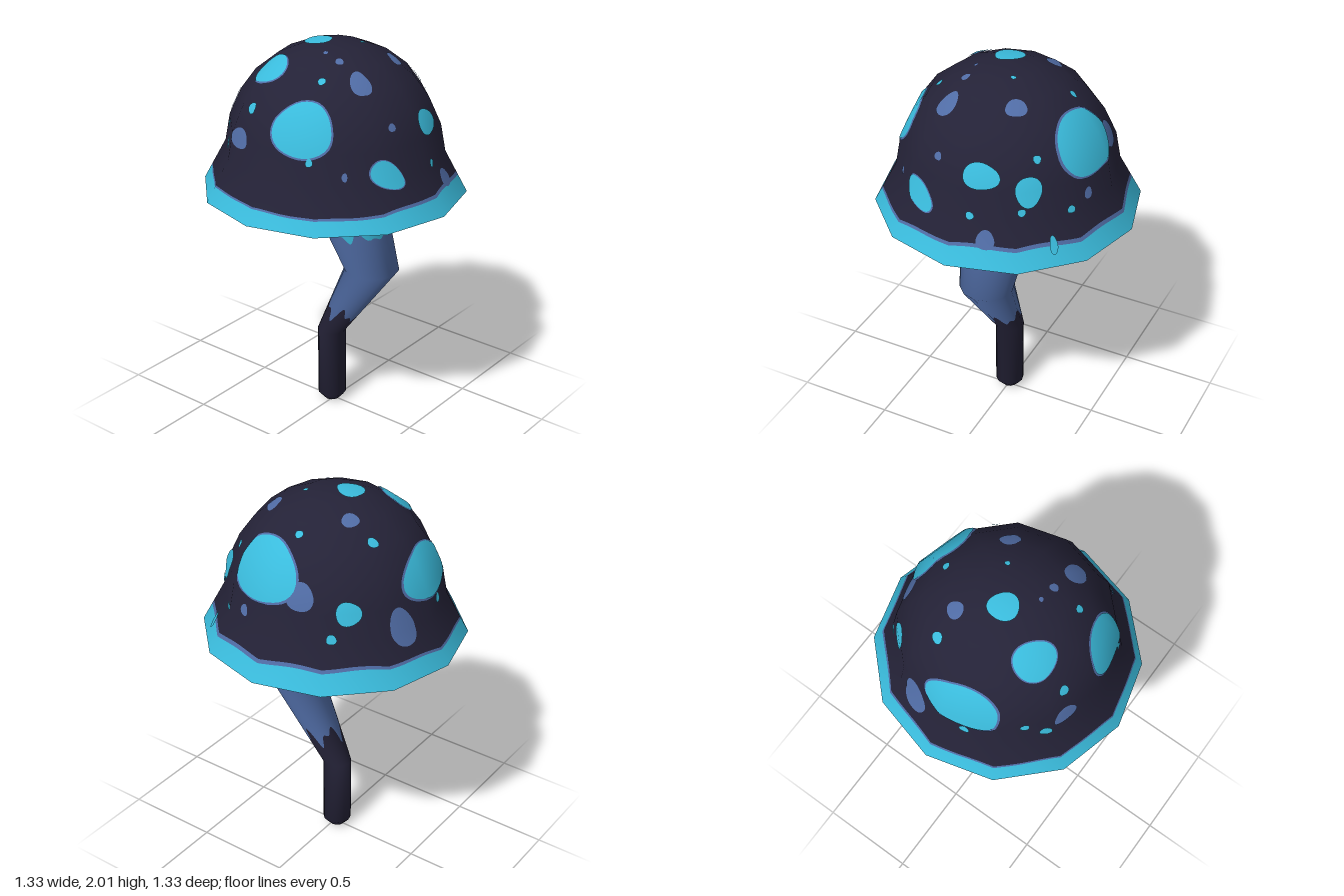
import * as THREE from 'three';

const SIDES = 12, STEP = (Math.PI * 2) / SIDES, FULL = Math.PI * 2;
const mat = (name, color) => Object.assign(new THREE.MeshStandardMaterial({ color }), { name });

// Ratio of a 12-sided ring to its circle at an angle measured from +z towards +x
function facet(theta) {
  const a = ((theta % STEP) + STEP) % STEP;
  return Math.cos(STEP / 2) / Math.cos(a - STEP / 2);
}

// Profile rows are [height, radius, z of ring centre]; slopes are averaged for smooth shading
function makeProfile(rows, endAngle) {
  const segs = rows.slice(1).map(([y, r, z], i) => {
    const dy = y - rows[i][0];
    return { a: Math.atan2(rows[i][1] - r, dy), c: (z - rows[i][2]) / dy };
  });
  return rows.map(([y, r, z], i) => {
    const p = segs[Math.max(i - 1, 0)], q = segs[Math.min(i, segs.length - 1)];
    const last = i === rows.length - 1 && endAngle !== undefined;
    return { y, r, z, a: last ? endAngle : (p.a + q.a) / 2, c: (p.c + q.c) / 2 };
  });
}

// Position and normal on a profile at an angle and height
function sample(profile, theta, y) {
  let i = 0;
  while (i < profile.length - 2 && y > profile[i + 1].y) i++;
  const p = profile[i], q = profile[i + 1];
  const k = (y - p.y) / (q.y - p.y);
  const mix = (key) => p[key] + (q[key] - p[key]) * k;
  const r = mix('r') * facet(theta), a = mix('a');
  const s = Math.sin(theta), c = Math.cos(theta);
  return {
    p: new THREE.Vector3(s * r, y, mix('z') + c * r),
    n: new THREE.Vector3(s * Math.cos(a), Math.sin(a) - mix('c') * c * Math.cos(a), c * Math.cos(a)).normalize(),
  };
}

// Rectangular grid of points; fn(column, row) returns { p, n }
function grid(fn, cols, rows) {
  const pos = [], nor = [], idx = [];
  for (let j = 0; j <= rows; j++) {
    for (let i = 0; i <= cols; i++) {
      const { p, n } = fn(i, j);
      pos.push(p.x, p.y, p.z);
      nor.push(n.x, n.y, n.z);
      if (i < cols && j < rows) {
        const a = j * (cols + 1) + i, d = a + cols + 1;
        idx.push(a, a + 1, d + 1, a, d + 1, d);
      }
    }
  }
  const g = new THREE.BufferGeometry();
  g.setAttribute('position', new THREE.Float32BufferAttribute(pos, 3));
  g.setAttribute('normal', new THREE.Float32BufferAttribute(nor, 3));
  g.setIndex(idx);
  return g;
}

// Surface band between wavy lower and upper edges, following the profile rows between them
function band(profile, lo, hi) {
  const inner = profile.map((q) => q.y).filter((y) => y > lo(0) + 0.09 && y < hi(0) - 0.09);
  const levels = [lo, ...inner.map((y) => () => y), hi];
  return grid((i, j) => {
    const t = (i / 144) * FULL;
    return sample(profile, t, levels[j](t));
  }, 144, levels.length - 1);
}

const CAP_BASE = 1.25;
const cap = makeProfile([
  [1.25, 0.667, 0], [1.46, 0.553, 0], [1.6, 0.527, 0], [1.735, 0.465, 0],
  [1.84, 0.388, 0], [1.928, 0.275, 0], [1.983, 0.143, 0], [2, 0, 0],
], Math.PI / 2);
const stem = makeProfile([
  [0, 0.04, -0.015], [0.04, 0.075, -0.015], [0.42, 0.075, -0.015], [0.85, 0.14, 0.242], [1.42, 0.225, -0.01],
]);

// Push a point outwards or inwards from the cap's centre onto the cap surface
function projectToCap(v) {
  const theta = Math.atan2(v.x, v.z);
  const rho = Math.hypot(v.x, v.z) / facet(theta), h = v.y - CAP_BASE;
  const side = (q) => rho * (q.y - CAP_BASE) - h * q.r;
  for (let i = 0; i < cap.length - 1; i++) {
    const c0 = side(cap[i]), c1 = side(cap[i + 1]);
    if (c1 >= 0) return sample(cap, theta, THREE.MathUtils.lerp(cap[i].y, cap[i + 1].y, c0 / (c0 - c1 || 1)));
  }
  return sample(cap, theta, 2);
}

// Thin rounded patch lying on the cap
function spot([x, y, z, a, b, tilt = 0], lift, grow = 1) {
  const c = projectToCap(new THREE.Vector3(x, y, z));
  const t = Math.atan2(x, z);
  const u = new THREE.Vector3(Math.cos(t), 0, -Math.sin(t));
  const v = c.n.clone().cross(u).normalize();
  const rings = Math.max(2, Math.ceil(Math.max(a, b) / 0.015));
  return grid((i, j) => {
    const s = (i / 36) * FULL;
    const k = grow * (1 - j / rings) * (1 + 0.05 * Math.sin(3 * s + x * 20) + 0.03 * Math.sin(2 * s + z * 30));
    const ca = a * k * Math.cos(s), sb = b * k * Math.sin(s);
    const q = c.p.clone()
      .addScaledVector(u, ca * Math.cos(tilt) - sb * Math.sin(tilt))
      .addScaledVector(v, ca * Math.sin(tilt) + sb * Math.cos(tilt));
    const r = projectToCap(q);
    r.p.addScaledVector(r.n, lift);
    return r;
  }, 36, rings);
}

// Spots: x, y, z, half width, half height, tilt
const CYAN_SPOTS = [
  [-0.44, 1.7, 0.16, 0.15, 0.13], [0.43, 1.72, 0.08, 0.188, 0.16], [-0.08, 1.67, -0.47, 0.2, 0.125],
  [-0.27, 1.89, -0.165, 0.1, 0.095], [-0.03, 1.99, -0.07, 0.075, 0.065, 0.4],
  [0.1, 1.665, 0.48, 0.085, 0.065], [0.31, 1.6, 0.41, 0.065, 0.075], [-0.22, 1.485, 0.49, 0.095, 0.06, -0.5],
  [0.385, 1.61, -0.355, 0.06, 0.06], [-0.45, 1.54, -0.31, 0.03, 0.03], [-0.43, 1.74, -0.155, 0.025, 0.03],
  [-0.127, 1.52, -0.52, 0.025, 0.025], [0.155, 1.88, -0.33, 0.028, 0.028], [-0.37, 1.6, -0.37, 0.022, 0.022],
  [0.31, 1.73, 0.33, 0.02, 0.02], [0.07, 1.475, 0.54, 0.02, 0.02], [0.3, 1.51, 0.46, 0.02, 0.02],
  [0.46, 1.475, 0.28, 0.02, 0.02], [0.46, 1.49, -0.31, 0.025, 0.025], [0.32, 1.89, -0.03, 0.02, 0.02],
  [-0.29, 1.9, 0.155, 0.02, 0.02], [0.08, 1.985, 0.11, 0.013, 0.013], [-0.5, 1.58, 0.24, 0.018, 0.02],
  [0.43, 1.34, 0.4, 0.02, 0.045],
];
const BLUE_SPOTS = [
  [-0.17, 1.875, 0.29, 0.05, 0.07], [0.16, 1.91, 0.24, 0.05, 0.045], [0.145, 1.93, -0.19, 0.042, 0.042],
  [0.475, 1.67, -0.14, 0.065, 0.07], [0.16, 1.375, 0.56, 0.045, 0.045], [-0.48, 1.59, -0.2, 0.065, 0.05],
  [0.17, 1.49, -0.52, 0.07, 0.1, 0.3], [-0.14, 1.7, 0.46, 0.02, 0.02], [0.51, 1.515, 0.17, 0.026, 0.028],
  [-0.15, 1.96, 0.15, 0.02, 0.022], [-0.14, 1.975, 0.06, 0.011, 0.011], [-0.39, 1.5, 0.37, 0.014, 0.02],
];

export function createModel() {
  const model = new THREE.Group();
  model.name = 'mushroom';
  const cyan = mat('bright cyan', 0x3abcdd);
  const blue = mat('dusty blue', 0x506ca5);
  const dark = mat('dark indigo', 0x242237);
  const add = (name, geometry, material, parent = model) => {
    const mesh = new THREE.Mesh(geometry, material);
    mesh.name = name;
    parent.add(mesh);
    return mesh;
  };
  const level = (y) => () => y;

  // Stem in three colours with ragged borders
  const darkTop = (t) => 0.57 + 0.035 * Math.sin(5 * t + 0.6) + 0.025 * Math.sin(9 * t) - 0.02 * Math.cos(t);
  const blueTop = (t) => 1.06 + 0.018 * Math.sin(7 * t + 1) + 0.014 * Math.sin(12 * t);
  add('stemFoot', band(stem, level(0), level(0.04)), dark);
  add('stemLower', band(stem, level(0.04), darkTop), dark);
  add('stemMiddle', band(stem, darkTop, blueTop), blue);
  add('stemUpper', band(stem, blueTop, level(1.42)), cyan);
  const sole = add('stemSole', new THREE.CircleGeometry(0.04, SIDES), dark);
  sole.rotation.x = Math.PI / 2;
  sole.position.z = -0.015;

  // Cap: rim, thin border line and dome
  const rimTop = (t) => 1.33 + 0.012 * Math.sin(t) + 0.006 * Math.sin(3 * t + 1) + 0.003 * Math.sin(11 * t);
  const lineTop = (t) => rimTop(t) + 0.013 + 0.005 * Math.sin(t + 0.4);
  add('capRim', band(cap, level(CAP_BASE), rimTop), cyan);
  add('capBorder', band(cap, rimTop, lineTop), blue);
  const domeLevels = [lineTop, ...cap.slice(1).map((q) => level(q.y))];
  add('capDome', grid((i, j) => {
    const t = (i / 144) * FULL;
    return sample(cap, t, domeLevels[j](t));
  }, 144, domeLevels.length - 1), dark);

  // Underside: sloping skirt and flat ceiling
  const lathe = (pts) => new THREE.LatheGeometry(pts.map(([r, y]) => new THREE.Vector2(r, y)), SIDES);
  add('capUnderside', lathe([[0.37, 1.41], [0.667, 1.25]]), cyan);
  add('capCeiling', lathe([[0, 1.415], [0.37, 1.41]]), cyan);

  // Gill marks around the skirt
  const gills = new THREE.Group();
  gills.name = 'gills';
  model.add(gills);
  for (let g = 0; g < 16; g++) {
    const mid = ((g + 0.5) / 16) * FULL;
    add('gill', grid((i, j) => {
      const r = 0.41 + 0.16 * (j / 2);
      const t = mid + (i / 8 - 0.5) * 0.24;
      const s = Math.sin(t), c = Math.cos(t), f = facet(t);
      return {
        p: new THREE.Vector3(s * r * f, 1.405 - ((r - 0.37) / 0.297) * 0.16, c * r * f),
        n: new THREE.Vector3(-s * 0.474, -0.88, -c * 0.474),
      };
    }, 8, 2), blue, gills);
  }

  // Spots, the larger ones with a blue edge
  const spots = new THREE.Group();
  spots.name = 'spots';
  model.add(spots);
  for (const s of BLUE_SPOTS) add('blueSpot', spot(s, 0.003), blue, spots);
  for (const s of CYAN_SPOTS) {
    if (s[3] > 0.09) add('spotEdge', spot(s, 0.004, 1.07), blue, spots);
    add('cyanSpot', spot(s, 0.007), cyan, spots);
  }
  return model;
}
